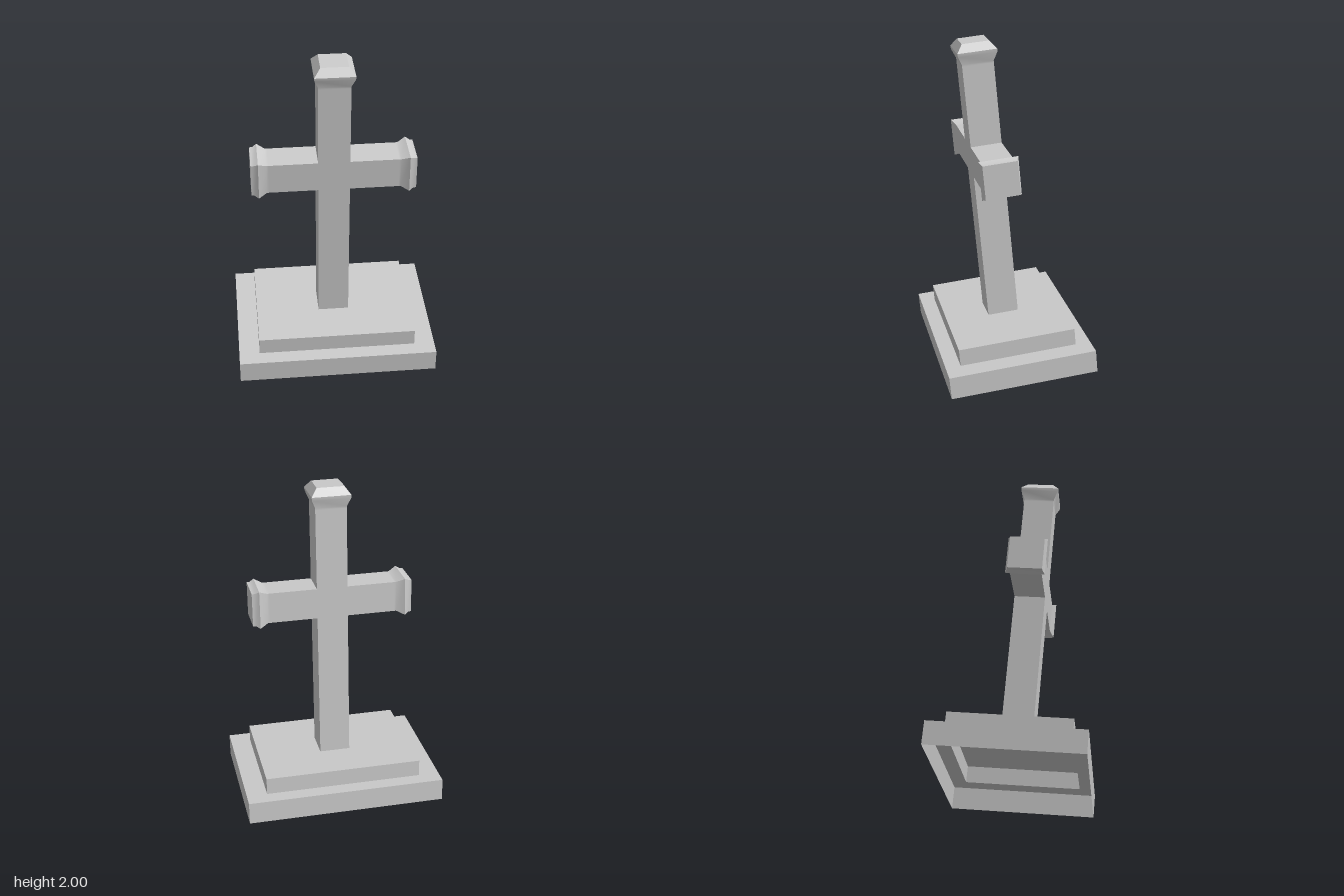
import * as THREE from 'three';
import { toCreasedNormals } from 'three/addons/utils/BufferGeometryUtils.js';

const material = new THREE.MeshStandardMaterial({ color: 0xcccccc, side: THREE.DoubleSide });

// Square-section bar along y; profile is [half width, height] from bottom to top
function squareBar(profile) {
  const points = profile.map(([half, y]) => new THREE.Vector2(half * Math.SQRT2, y));
  return new THREE.LatheGeometry(points, 4, Math.PI / 4);
}

function addMesh(parent, name, geometry) {
  const mesh = new THREE.Mesh(toCreasedNormals(geometry, 0.6), material);
  mesh.name = name;
  parent.add(mesh);
  return mesh;
}

function rectangle(Type, hx, hz) {
  return new Type([[-hx, -hz], [hx, -hz], [hx, hz], [-hx, hz]].map(([x, y]) => new THREE.Vector2(x, y)));
}

// Hollow step, open below, its deck pierced where the next part stands
function addStep(parent, name, hx, hz, bottom, top, holeX, holeZ) {
  const step = new THREE.Group();
  step.name = name;
  addMesh(step, name + 'Walls', squareBar([[1, bottom], [1, top]]).scale(hx, 1, hz));
  const deck = rectangle(THREE.Shape, hx, hz);
  deck.holes.push(rectangle(THREE.Path, holeX, holeZ));
  addMesh(step, name + 'Deck', new THREE.ShapeGeometry(deck).rotateX(-Math.PI / 2).translate(0, top, 0));
  parent.add(step);
}

export function createModel() {
  const model = new THREE.Group();
  model.name = 'leaningCross';

  // Everything leans forward, with a very slight turn and roll
  const monument = new THREE.Group();
  monument.name = 'monument';
  monument.position.set(0, 0.045, -0.005);
  monument.rotation.set(0.0925, 0.008, 0.004);
  model.add(monument);

  const half = 0.0935; // half thickness of shaft and arms

  // Two-step plinth
  addStep(monument, 'lowerStep', 0.605, 0.4425, 0, 0.137, 0.48, 0.3525);
  addStep(monument, 'upperStep', 0.48, 0.3525, 0.137, 0.24, half, half);

  // Shaft with flared, bevelled head
  addMesh(monument, 'shaft', squareBar([
    [half, 0.24], [half, 1.825], [half, 1.838], [0.115, 1.89], [0.117, 1.91],
    [0.08, 1.955], [0, 1.955],
  ]));

  // Arms with a raised collar near each end
  for (const side of [1, -1]) {
    const arm = squareBar([
      [half, half], [half, 0.38], [half, 0.393], [0.116, 0.442],
      [0.103, 0.467], [0.102, 0.485], [0, 0.485],
    ]);
    arm.rotateZ(-side * Math.PI / 2).translate(0, 1.246, 0);
    addMesh(monument, side > 0 ? 'leftArm' : 'rightArm', arm);
  }
  return model;
}
